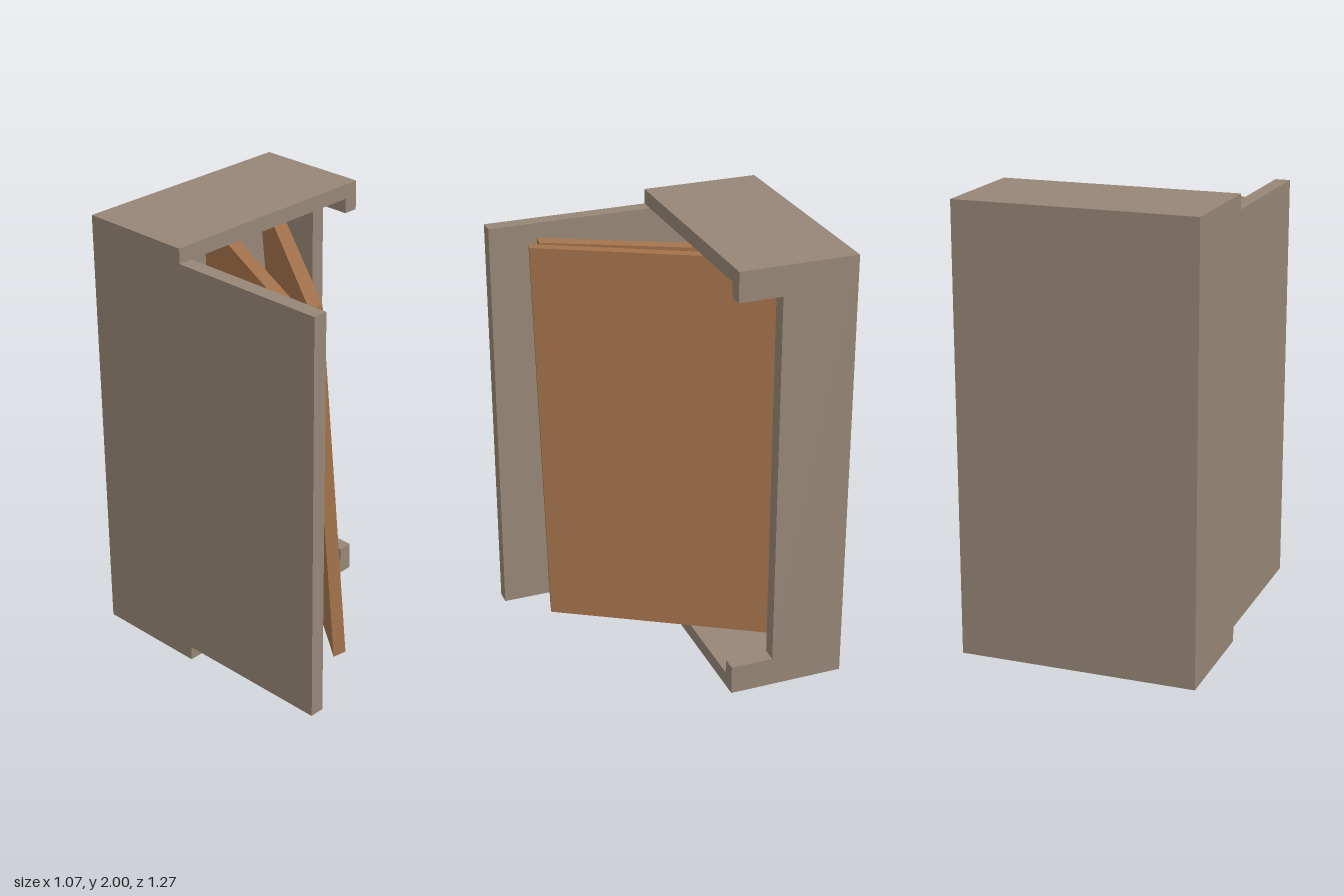
import * as THREE from 'three';

export function createModel() {
  const model = new THREE.Group();
  model.name = 'openCabinet';
  const stone = new THREE.MeshStandardMaterial({ name: 'greyBrown', color: 0x968676 });
  const wood = new THREE.MeshStandardMaterial({ name: 'wood', color: 0xa5744c });

  const W = 0.533, T = 0.067, H = 2;
  const BACK = -0.635, FRONT = -0.105, NOTCH = -0.3;

  const add = (name, geometry, material) => {
    const mesh = new THREE.Mesh(geometry, material);
    mesh.name = name;
    model.add(mesh);
  };

  // Box given by its limits on each axis
  const block = (name, [x0, x1], [y0, y1], [z0, z1]) => {
    const g = new THREE.BoxGeometry(x1 - x0, y1 - y0, z1 - z0);
    g.translate((x0 + x1) / 2, (y0 + y1) / 2, (z0 + z1) / 2);
    add(name, g, stone);
  };

  // Case: top, bottom, back and the long side wall reaching far forward
  block('bottom', [-W, W], [0, T], [BACK, FRONT]);
  block('top', [-W, W], [H - T, H], [BACK, FRONT]);
  block('backWall', [-W + T, W - T], [T, H - T], [BACK, BACK + T]);
  block('longSideWall', [-W, -W + T], [T, H - T], [BACK, -BACK]);

  // Short side wall: C-shaped profile with a notch cut from its front edge
  const profile = new THREE.Shape([
    [BACK, T], [FRONT, T], [FRONT, 2 * T], [NOTCH, 2 * T],
    [NOTCH, H - 2 * T], [FRONT, H - 2 * T], [FRONT, H - T], [BACK, H - T],
  ].map(([z, y]) => new THREE.Vector2(z, y)));
  const side = new THREE.ExtrudeGeometry(profile, { depth: T, bevelEnabled: false });
  side.rotateY(-Math.PI / 2).translate(W, 0, 0);
  add('notchedSideWall', side, stone);

  // Skewed board from its top front corner and its thickness, depth and down edges
  const board = (name, corner, thick, deep, down) => {
    const [c, t, e, d] = [corner, thick, deep, down].map((p) => new THREE.Vector3(...p));
    const origin = c.clone().add(e).add(d);
    const m = new THREE.Matrix4().makeBasis(t, d.negate(), e.negate()).setPosition(origin);
    const g = new THREE.BoxGeometry(1, 1, 1).translate(0.5, 0.5, 0.5).applyMatrix4(m);
    add(name, g, wood);
  };
  board('uprightBoard', [-0.46, 1.867, 0.42], [0.06, 0, 0.01], [0.46, 0, -0.93], [0, -1.73, 0]);
  board('leaningBoard', [-0.395, 1.87, 0.48], [0.06, 0.005, 0.015], [0.685, 0.06, -0.945], [0.165, -1.725, 0.005]);

  return model;
}
